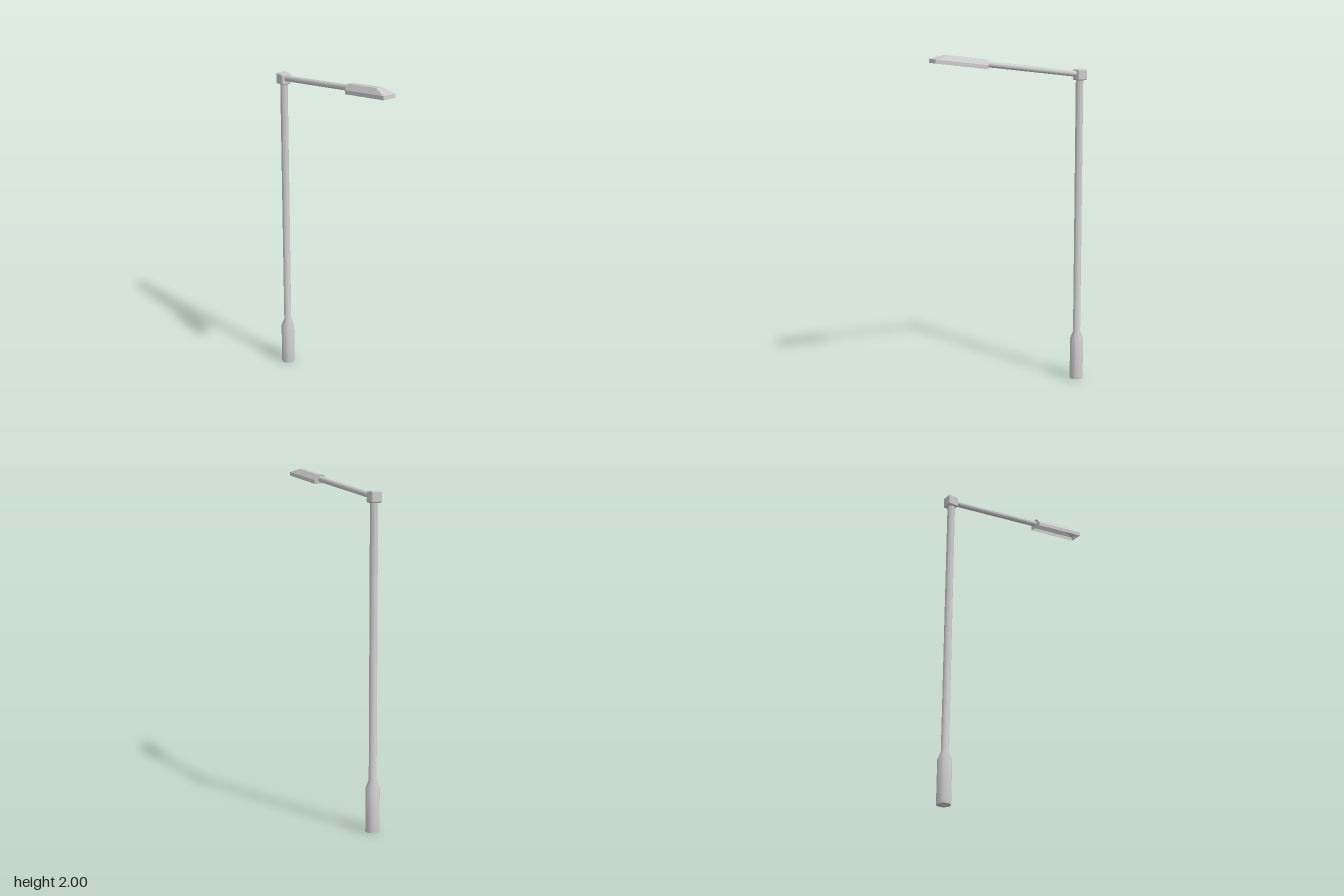
import * as THREE from 'three';
import { toCreasedNormals } from 'three/addons/utils/BufferGeometryUtils.js';
import { RoundedBoxGeometry } from 'three/addons/geometries/RoundedBoxGeometry.js';

const POLE_Z = -0.46;
const TILT = THREE.MathUtils.degToRad(7.5);
const grey = new THREE.MeshStandardMaterial({ color: 0xcccccc });
const shellGrey = new THREE.MeshStandardMaterial({ color: 0xcccccc, flatShading: true, side: THREE.DoubleSide });

function addPart(parent, name, geometry, material = grey) {
  const mesh = new THREE.Mesh(geometry, material);
  mesh.name = name;
  parent.add(mesh);
  return mesh;
}

// Cross-section of the lamp shell, from +x lower edge over the top to -x lower edge
function shellSection(z, topHalf, topY) {
  const half = [[0.04, 0], [0.04, 0.022], [topHalf, topY]];
  const mirrored = half.map(([x, y]) => [-x, y]).reverse();
  return [...half, ...mirrored].map(([x, y]) => [x, y, z]);
}

// Hollow lamp shell, open underneath, with closed ends
function lampShell() {
  const sections = [
    shellSection(0, 0.018, 0.053),
    shellSection(0.246, 0.018, 0.053),
    shellSection(0.33, 0.04, 0.022),
  ];
  const n = sections[0].length;
  const index = [];
  for (let i = 0; i < sections.length - 1; i++) {
    for (let j = 0; j < n - 1; j++) {
      const a = i * n + j, b = a + 1, c = a + n, d = c + 1;
      index.push(a, b, c, b, d, c);
    }
  }
  const last = (sections.length - 1) * n;
  for (let j = 1; j < n - 1; j++) {
    index.push(0, j + 1, j);                      // back end
    index.push(last, last + j, last + j + 1);     // front lip
  }
  const geometry = new THREE.BufferGeometry();
  geometry.setAttribute('position', new THREE.Float32BufferAttribute(sections.flat(2), 3));
  geometry.setIndex(index);
  const flat = geometry.toNonIndexed();
  flat.computeVertexNormals();
  return flat;
}

export function createModel() {
  const model = new THREE.Group();
  model.name = 'streetLamp';

  // Pole with a wide foot that tapers into the shaft
  const profile = [[0, 0], [0.04, 0], [0.04, 0.25], [0.022, 0.295], [0.022, 1.84], [0, 1.84]]
    .map(([r, y]) => new THREE.Vector2(r, y));
  const pole = addPart(model, 'pole', toCreasedNormals(new THREE.LatheGeometry(profile, 24), 0.5));
  pole.position.z = POLE_Z;

  // Joint block on top of the pole
  const joint = addPart(model, 'joint', new RoundedBoxGeometry(0.064, 0.064, 0.064, 2, 0.008));
  joint.position.set(0, 1.857, POLE_Z - 0.003);

  // Arm rising gently from the joint into the lamp
  const start = new THREE.Vector3(0, 1.859, POLE_Z);
  const length = 0.642;
  const arm = addPart(model, 'arm', new THREE.CylinderGeometry(0.017, 0.017, length, 20));
  arm.rotation.x = Math.PI / 2 - TILT;
  arm.position.copy(start).addScaledVector(
    new THREE.Vector3(0, Math.sin(TILT), Math.cos(TILT)), length / 2);

  // Lamp head
  const head = addPart(model, 'lampHead', lampShell(), shellGrey);
  head.position.set(0, 1.915, 0.173);
  head.rotation.x = -TILT;

  return model;
}
